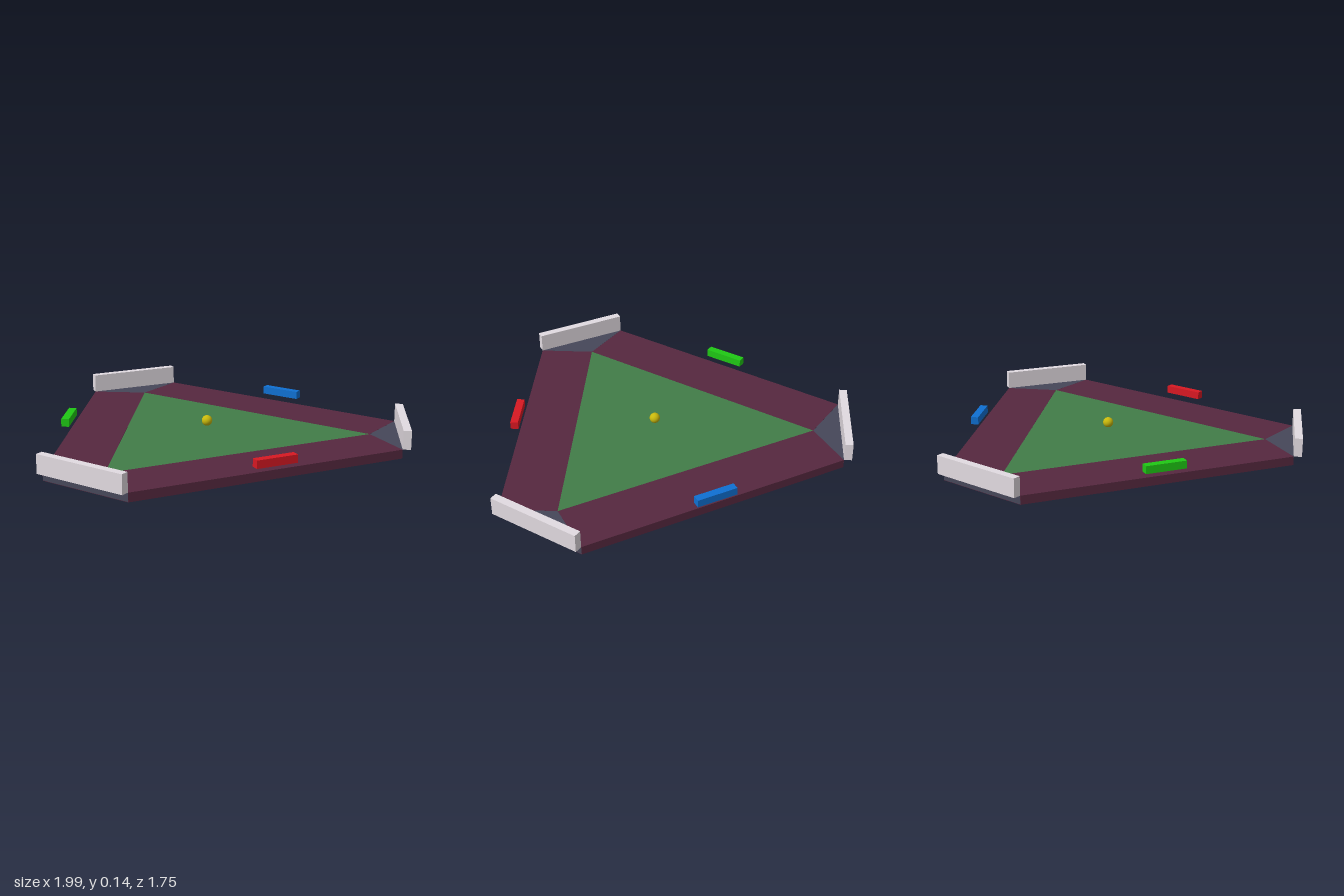
import * as THREE from 'three';

const CENTRE_Z = 0.131;   // centroid of the triangular field
const FLOOR = 0.045;      // floor height
const PLATE = 0.002;      // underside thickness
const THIRD = Math.PI * 2 / 3;

const paint = (color) => new THREE.MeshStandardMaterial({ color });

// Flat slab from [x, z] corners, between two heights
function slab(name, corners, bottom, top, material) {
  const shape = new THREE.Shape(corners.map(([x, z]) => new THREE.Vector2(x, -z)));
  const geometry = new THREE.ExtrudeGeometry(shape, { depth: top - bottom, bevelEnabled: false });
  geometry.rotateX(-Math.PI / 2).translate(0, bottom, 0);
  const mesh = new THREE.Mesh(geometry, material);
  mesh.name = name;
  return mesh;
}

function box(name, size, position, material) {
  const mesh = new THREE.Mesh(new THREE.BoxGeometry(...size), material);
  mesh.name = name;
  mesh.position.set(...position);
  return mesh;
}

export function createModel() {
  const model = new THREE.Group();
  model.name = 'triangularArena';

  const green = paint(0x417d48);
  const maroon = paint(0x56283f);
  const slate = paint(0x464759);
  const pale = paint(0xe2dbe1);

  // Everything on the field is laid out about its centroid
  const arena = new THREE.Group();
  arena.name = 'arena';
  arena.position.z = CENTRE_Z;
  model.add(arena);

  const inner = 0.413;   // centroid to inner field edge
  const outer = 0.699;   // centroid to outer border edge
  const tip = 0.826;     // centroid to field corner
  const cut = 0.969;     // centroid to cut corner edge
  const half = 0.715;    // half length of a side
  const cutHalf = 0.247; // half length of a cut corner

  // Central playing field
  arena.add(slab('field', [[-half, inner], [half, inner], [0, -tip]], PLATE, FLOOR, green));

  // Underside: six-cornered plate
  const outline = [];
  for (let i = 0; i < 3; i++) {
    const c = Math.cos(i * THIRD), s = Math.sin(i * THIRD);
    for (const x of [-half, half]) outline.push([x * c + outer * s, -x * s + outer * c]);
  }
  arena.add(slab('underside', outline, 0, PLATE, maroon));

  // Three borders, corner wedges and goal walls
  for (let i = 0; i < 3; i++) {
    const sector = new THREE.Group();
    sector.name = `sector${i + 1}`;
    sector.rotation.y = i * THIRD;
    sector.add(
      slab('border', [[-half, inner], [-half, outer], [half, outer], [half, inner]], PLATE, FLOOR, maroon),
      slab('cornerWedge', [[0, -tip], [cutHalf, -cut], [-cutHalf, -cut]], PLATE, FLOOR, slate),
      box('cornerWall', [cutHalf * 2, 0.095, 0.04], [0, 0.0925, -cut - 0.02], pale)
    );
    arena.add(sector);
  }

  // Paddles hovering outside each side
  const paddles = [
    ['redPaddle', 0xd81822, 0, 0.85, 0],
    ['bluePaddle', 0x0f70d2, 0.623, -0.202, THIRD],
    ['greenPaddle', 0x1fc814, -0.618, -0.225, -THIRD],
  ];
  for (const [name, color, x, z, turn] of paddles) {
    const paddle = box(name, [0.213, 0.04, 0.04], [x, 0.097, z], paint(color));
    paddle.rotation.y = turn;
    model.add(paddle);
  }

  // Ball floating above the middle
  const ball = new THREE.Mesh(new THREE.SphereGeometry(0.027, 32, 16), paint(0xc8b80c));
  ball.name = 'ball';
  ball.position.set(0, 0.097, CENTRE_Z);
  model.add(ball);

  return model;
}
